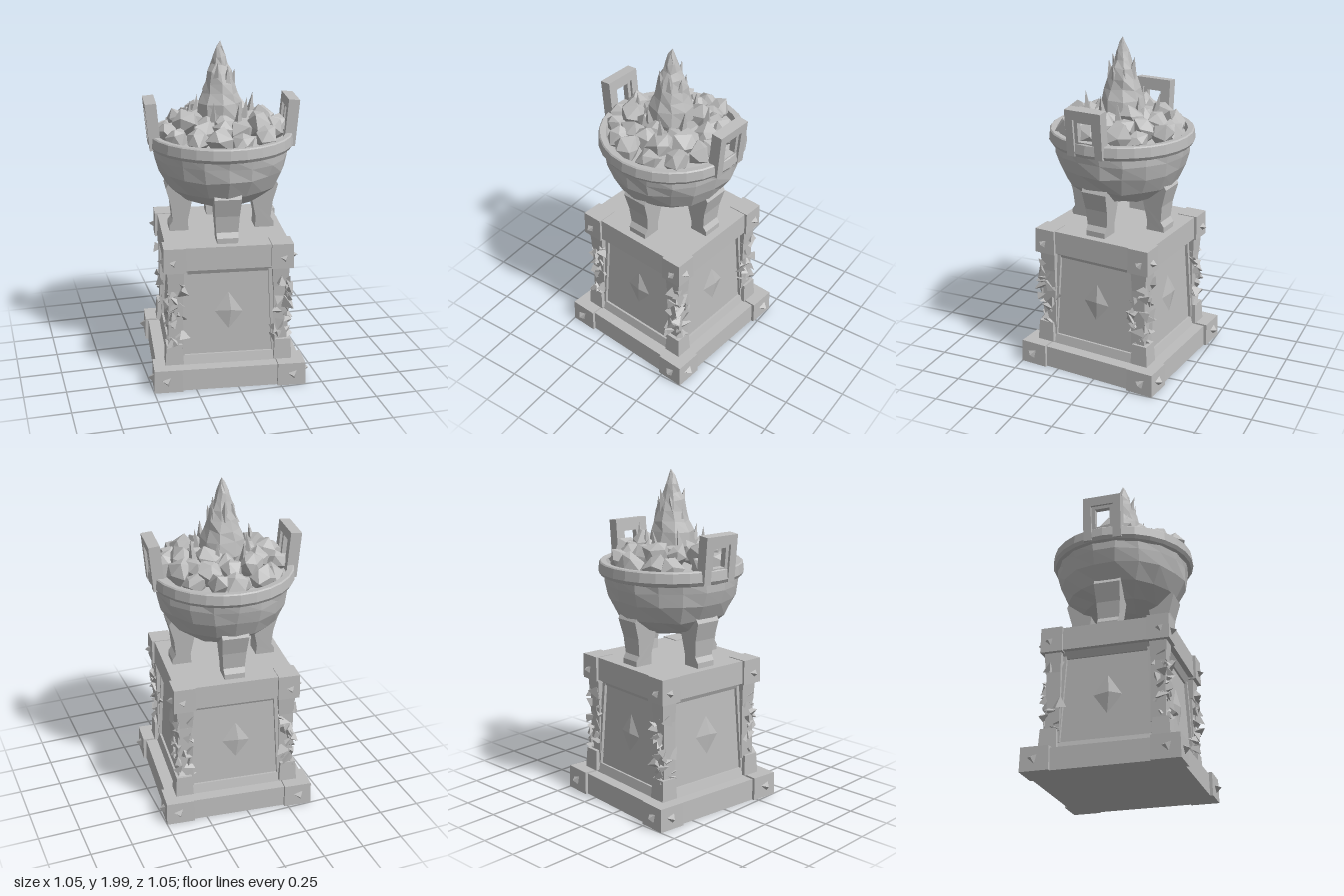
import * as THREE from 'three';

const stone = new THREE.MeshStandardMaterial({ color: 0xbcbcbc, flatShading: true });
stone.name = 'stone grey';

let seed = 7;
const rand = () => (seed = (seed * 16807) % 2147483647) / 2147483647;
const range = (a, b) => a + (b - a) * rand();

// Shift vertices by a hash of their position, so shared corners stay joined
function jitter(geo, amount, salt = 0) {
  const p = geo.attributes.position;
  const hash = (x, y, z, k) => {
    const s = Math.sin(Math.round(x * 1000) * 12.9898 + Math.round(y * 1000) * 78.233 + Math.round(z * 1000) * 37.719 + k * 11.13 + salt) * 43758.5453;
    return (s - Math.floor(s) - 0.5) * 2 * amount;
  };
  for (let i = 0; i < p.count; i++) {
    const x = p.getX(i), y = p.getY(i), z = p.getZ(i);
    p.setXYZ(i, x + hash(x, y, z, 1), y + hash(x, y, z, 2), z + hash(x, y, z, 3));
  }
  geo.computeVertexNormals();
  return geo;
}

function add(parent, name, geo, x = 0, y = 0, z = 0) {
  const m = new THREE.Mesh(geo, stone);
  m.name = name;
  m.position.set(x, y, z);
  parent.add(m);
  return m;
}

// Square block from y0 to y1 with half widths h0 (bottom) and h1 (top)
function block(parent, name, y0, y1, h0, h1, x = 0, z = 0) {
  const g = new THREE.CylinderGeometry(h1 * Math.SQRT2, h0 * Math.SQRT2, y1 - y0, 4).rotateY(Math.PI / 4);
  return add(parent, name, g, x, (y0 + y1) / 2, z);
}

const corners = [[1, 1], [1, -1], [-1, -1], [-1, 1]];

// Pyramid stud pointing outward from the +z face
function stud(parent, x, y, z, r) {
  const g = new THREE.ConeGeometry(r, 0.035, 3).rotateX(Math.PI / 2);
  add(parent, 'stud', g, x, y, z + 0.014).rotation.z = 0.3;
}

function pedestal(root) {
  const g = new THREE.Group();
  g.name = 'pedestal';
  root.add(g);
  block(g, 'plinth', 0, 0.13, 0.435, 0.43);
  block(g, 'body', 0.13, 0.72, 0.335, 0.305);
  block(g, 'lowerMoulding', 0.13, 0.185, 0.36, 0.345);
  block(g, 'upperMoulding', 0.69, 0.73, 0.318, 0.335);
  block(g, 'cap', 0.73, 0.868, 0.366, 0.362);

  for (const [sx, sz] of corners) {
    block(g, 'plinthCorner', 0, 0.14, 0.085, 0.082, sx * 0.367, sz * 0.367);
    block(g, 'postFoot', 0.14, 0.265, 0.054, 0.047, sx * 0.323, sz * 0.323);
    block(g, 'post', 0.25, 0.62, 0.044, 0.042, sx * 0.311, sz * 0.305);
    block(g, 'postHead', 0.6, 0.72, 0.044, 0.05, sx * 0.309, sz * 0.309);
    block(g, 'capCorner', 0.722, 0.872, 0.066, 0.064, sx * 0.314, sz * 0.314);

    // Jagged crust of shards wrapped around the outer corner of each post
    for (let i = 0; i < 30; i++) {
      const out = range(0.325, 0.362), along = range(0.265, 0.36), r = range(0.018, 0.034);
      const y = 0.25 + 0.4 * (i + rand()) / 30;
      const geo = jitter(new THREE.TetrahedronGeometry(r * 1.25), 0.009, i);
      geo.scale(1, range(1, 1.7), 1);
      const [x, z] = i % 2 ? [out, along] : [along, out];
      add(g, 'shard', geo, sx * x, y, sz * z).rotation.set(range(0, 6), range(0, 6), range(-0.6, 0.6));
    }
  }

  // Repeated details on the four faces
  for (let i = 0; i < 4; i++) {
    const face = new THREE.Group();
    face.name = 'face';
    face.rotation.y = i * Math.PI / 2;
    g.add(face);
    for (const s of [-1, 1]) {
      stud(face, s * 0.375, 0.07, 0.452, 0.034);
      stud(face, s * 0.325, 0.785, 0.38, 0.028);
      // Sloping side strip framing the panel
      const strip = add(face, 'panelFrame', new THREE.BoxGeometry(0.025, 0.53, 0.03), s * 0.262, 0.45, 0.322);
      strip.rotation.set(-0.05, 0, s * 0.045);
    }
    // Shallow faceted diamond in the panel
    const d = add(face, 'panelDiamond', jitter(new THREE.OctahedronGeometry(1), 0.12, 3), 0.01, 0.45, 0.318);
    d.scale.set(0.085, 0.13, 0.02);
    d.rotation.x = -0.05;
  }
}

function legs(root) {
  for (let i = 0; i < 4; i++) {
    const leg = new THREE.Group();
    leg.name = 'leg';
    leg.rotation.y = i * Math.PI / 2;
    root.add(leg);
    // Curved side outline, extruded across the leg width
    const s = new THREE.Shape();
    [[0.2, 0.865], [0.315, 0.865], [0.315, 0.9], [0.295, 0.93], [0.305, 1.03], [0.335, 1.14], [0.3, 1.2], [0.17, 1.12], [0.185, 1.03], [0.205, 0.93]]
      .forEach(([x, y], k) => (k ? s.lineTo(x, y) : s.moveTo(x, y)));
    const geo = new THREE.ExtrudeGeometry(s, { depth: 0.14, bevelEnabled: false });
    geo.translate(0, 0, -0.07).rotateY(-Math.PI / 2);
    const p = geo.attributes.position;
    for (let k = 0; k < p.count; k++) p.setX(k, p.getX(k) * (0.86 + Math.max(0, p.getY(k) - 0.87) * 1.0));
    geo.computeVertexNormals();
    add(leg, 'legBody', geo);
  }
}

function bowl(root) {
  const lathe = (pts, n) => new THREE.LatheGeometry(pts.map(([x, y]) => new THREE.Vector2(x, y)), n);
  const shell = [[0, 1.02], [0.13, 1.035], [0.24, 1.075], [0.33, 1.15], [0.38, 1.25], [0.397, 1.33], [0.4, 1.4]];
  add(root, 'bowl', jitter(lathe(shell, 18), 0.007));
  const rim = [[0.39, 1.37], [0.418, 1.38], [0.431, 1.4], [0.425, 1.455], [0.418, 1.462], [0.385, 1.46], [0.375, 1.42], [0, 1.44]];
  add(root, 'rim', lathe(rim, 28));

  // Two upright handles leaning outward
  const outline = (pts, path) => {
    pts.forEach(([x, y], k) => (k ? path.lineTo(x, y) : path.moveTo(x, y)));
    return path;
  };
  const arch = outline([[-0.115, 0], [-0.065, 0], [-0.068, 0.22], [0.068, 0.22], [0.065, 0], [0.115, 0], [0.115, 0.275], [-0.115, 0.275]], new THREE.Shape());
  const inner = outline([[-0.07, 0.06], [0.07, 0.06], [0.07, 0.225], [-0.07, 0.225]], new THREE.Shape());
  inner.holes.push(outline([[-0.045, 0.085], [-0.045, 0.2], [0.045, 0.2], [0.045, 0.085]], new THREE.Path()));
  for (const side of [0, Math.PI]) {
    const h = new THREE.Group();
    h.name = 'handle';
    h.rotation.y = side;
    root.add(h);
    for (const [name, shape, depth] of [['handleArch', arch, 0.066], ['handleInset', inner, 0.036]]) {
      const geo = new THREE.ExtrudeGeometry(shape, { depth, bevelEnabled: false });
      geo.translate(0, 0, -depth / 2).rotateY(Math.PI / 2);
      add(h, name, geo, 0.392, 1.385, 0).rotation.z = -0.09;
    }
  }
}

function fire(root) {
  // Rings of rough coals heaped toward the middle
  const rings = [[0.315, 15, 1.475, 0.07], [0.23, 12, 1.515, 0.078], [0.15, 8, 1.52, 0.075]];
  for (const [radius, n, y, size] of rings) {
    for (let i = 0; i < n; i++) {
      const a = (i + range(-0.2, 0.2)) / n * Math.PI * 2, r = radius + range(-0.015, 0.015);
      const geo = jitter(new THREE.IcosahedronGeometry(size * range(0.85, 1.15)), 0.016, i * 3 + radius);
      const c = add(root, 'coal', geo, Math.cos(a) * r, y + range(-0.02, 0.02), Math.sin(a) * r);
      c.rotation.set(range(0, 6), range(0, 6), range(0, 6));
    }
  }

  // Teardrop flame
  const prof = [[0.1, 1.46], [0.135, 1.56], [0.125, 1.64], [0.105, 1.7], [0.09, 1.76], [0.072, 1.82], [0.05, 1.86], [0.036, 1.91], [0.016, 1.96], [0, 2]];
  const core = new THREE.LatheGeometry(prof.map(([x, y]) => new THREE.Vector2(x, y)), 9);
  add(root, 'flame', jitter(core, 0.007), -0.005, -0.004, 0);

  // Tongues licking off the flame and small ones among the coals
  const tongue = (a, r, y, size, h, lean) => {
    const geo = new THREE.ConeGeometry(size, h, 4);
    const t = add(root, 'flameTongue', geo, Math.cos(a) * r, y, Math.sin(a) * r);
    t.rotation.set(Math.sin(a) * lean, a, -Math.cos(a) * lean);
  };
  for (let i = 0; i < 7; i++) tongue(i * 0.9 + 0.2, 0.07, 1.77 + (i % 3) * 0.025, 0.03, 0.13, 0.2);
  for (let i = 0; i < 8; i++) tongue(i * 0.785 + 0.4, i % 2 ? 0.21 : 0.15, 1.61, 0.025, 0.12, 0.15);
}

export function createModel() {
  const model = new THREE.Group();
  model.name = 'brazierOnPedestal';
  const turned = new THREE.Group();
  turned.name = 'brazier';
  turned.rotation.y = -0.115;
  model.add(turned);
  pedestal(turned);
  legs(turned);
  bowl(turned);
  fire(turned);
  return model;
}
